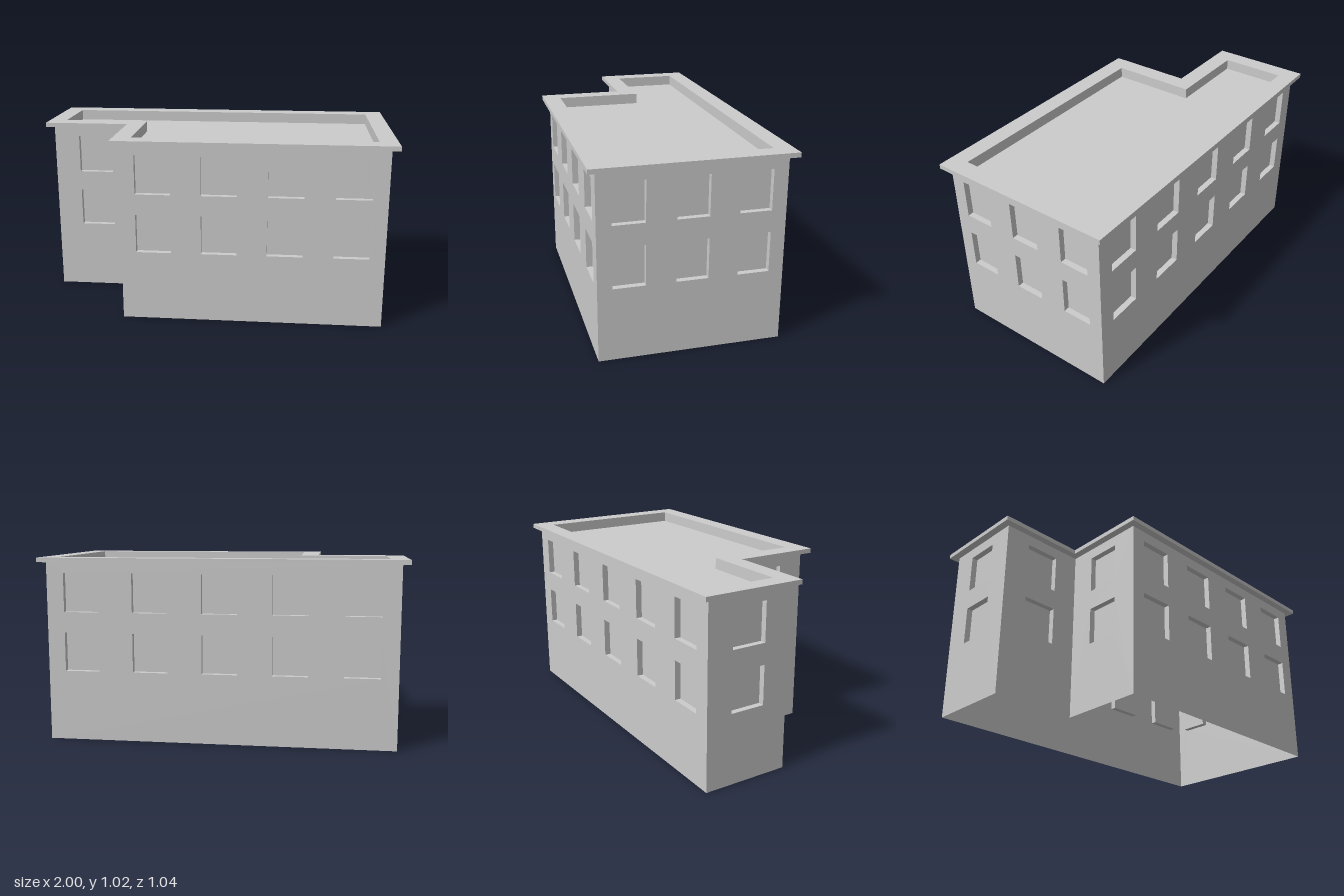
import * as THREE from 'three';

const WALL_TOP = 0.995, ROOF_TOP = 1.02, ROOF_FLOOR = 0.96;
const WINDOW_ROWS = [0.39, 0.72], WINDOW_HEIGHT = 0.215, RECESS = 0.033;

// L-shaped plan: x, z, outward direction of the corner in x and z
const PLAN = [
  [-0.475, 0.48, -1, 1], [0.96, 0.48, 1, 1], [0.96, -0.48, 1, -1],
  [-0.96, -0.48, -1, -1], [-0.96, 0, -1, 1], [-0.475, 0, -1, 1],
];
// Window columns and width for the wall that starts at each corner
const WALLS = [
  ['frontWall', 4, 0.194], ['leftWall', 3, 0.167], ['backWall', 5, 0.194],
  ['rightWingWall', 1, 0.194], ['frontWingWall', 1, 0.196], ['stepWall', 1, 0.194],
];

const solid = new THREE.MeshStandardMaterial({ color: 0xcccccc });
const sheet = new THREE.MeshStandardMaterial({ color: 0xcccccc, side: THREE.DoubleSide });

const offsetPlan = d => PLAN.map(([x, z, sx, sz]) => new THREE.Vector2(x + sx * d, z + sz * d));
const planPath = (d, Type) => new Type(offsetPlan(d).map(p => new THREE.Vector2(p.x, -p.y)));

function addMesh(parent, name, geometry, material) {
  const mesh = new THREE.Mesh(geometry, material);
  mesh.name = name;
  parent.add(mesh);
  return mesh;
}

// Stands an object on the plan edge from a to b, its local +z facing outward
function placeOnEdge(object, a, b) {
  object.position.set(a.x, 0, a.y);
  object.rotation.y = Math.atan2(a.y - b.y, b.x - a.x);
}

function rectangle(Type, x, y, w, h) {
  return new Type([[x, y], [x + w, y], [x + w, y + h], [x, y + h]].map(p => new THREE.Vector2(...p)));
}

// Inward-facing box without its front
function recessGeometry(w, h, d) {
  const box = new THREE.BoxGeometry(w, h, d);
  const index = Array.from(box.index.array).filter((_, i) => i < 24 || i >= 30);
  box.setIndex(index.reverse());
  box.clearGroups();
  box.computeVertexNormals();
  return box.translate(w / 2, h / 2, -d / 2);
}

function makeWall(name, a, b, columns, width) {
  const group = new THREE.Group();
  group.name = name;
  const length = a.distanceTo(b);
  const face = rectangle(THREE.Shape, 0, 0, length, WALL_TOP);
  const recess = recessGeometry(width, WINDOW_HEIGHT, RECESS);
  for (const y of WINDOW_ROWS) {
    for (let i = 0; i < columns; i++) {
      const x = (i + 0.5) * length / columns - width / 2;
      face.holes.push(rectangle(THREE.Path, x, y, width, WINDOW_HEIGHT));
      addMesh(group, 'windowRecess', recess, sheet).position.set(x, y, 0);
    }
  }
  addMesh(group, 'wallFace', new THREE.ShapeGeometry(face), sheet);
  placeOnEdge(group, a, b);
  return group;
}

function makeRoof() {
  const roof = new THREE.Group();
  roof.name = 'roof';
  // Overhanging rim
  const rim = planPath(0.04, THREE.Shape);
  rim.holes.push(planPath(-0.06, THREE.Path));
  const rimGeometry = new THREE.ExtrudeGeometry(rim, { depth: ROOF_TOP - WALL_TOP, bevelEnabled: false });
  rimGeometry.rotateX(-Math.PI / 2).translate(0, WALL_TOP, 0);
  addMesh(roof, 'roofRim', rimGeometry, solid);
  // Sunken deck and the lining below the rim
  const deck = new THREE.ShapeGeometry(planPath(-0.06, THREE.Shape));
  addMesh(roof, 'roofDeck', deck.rotateX(-Math.PI / 2).translate(0, ROOF_FLOOR, 0), sheet);
  const inner = offsetPlan(-0.06), height = WALL_TOP - ROOF_FLOOR;
  inner.forEach((a, i) => {
    const b = inner[(i + 1) % inner.length], length = a.distanceTo(b);
    const lining = new THREE.PlaneGeometry(length, height).translate(length / 2, ROOF_FLOOR + height / 2, 0);
    placeOnEdge(addMesh(roof, 'parapetLining', lining, sheet), b, a);
  });
  return roof;
}

export function createModel() {
  const model = new THREE.Group();
  model.name = 'building';
  const corners = offsetPlan(0);
  WALLS.forEach(([name, columns, width], i) =>
    model.add(makeWall(name, corners[i], corners[(i + 1) % corners.length], columns, width)));
  model.add(makeRoof());
  return model;
}
